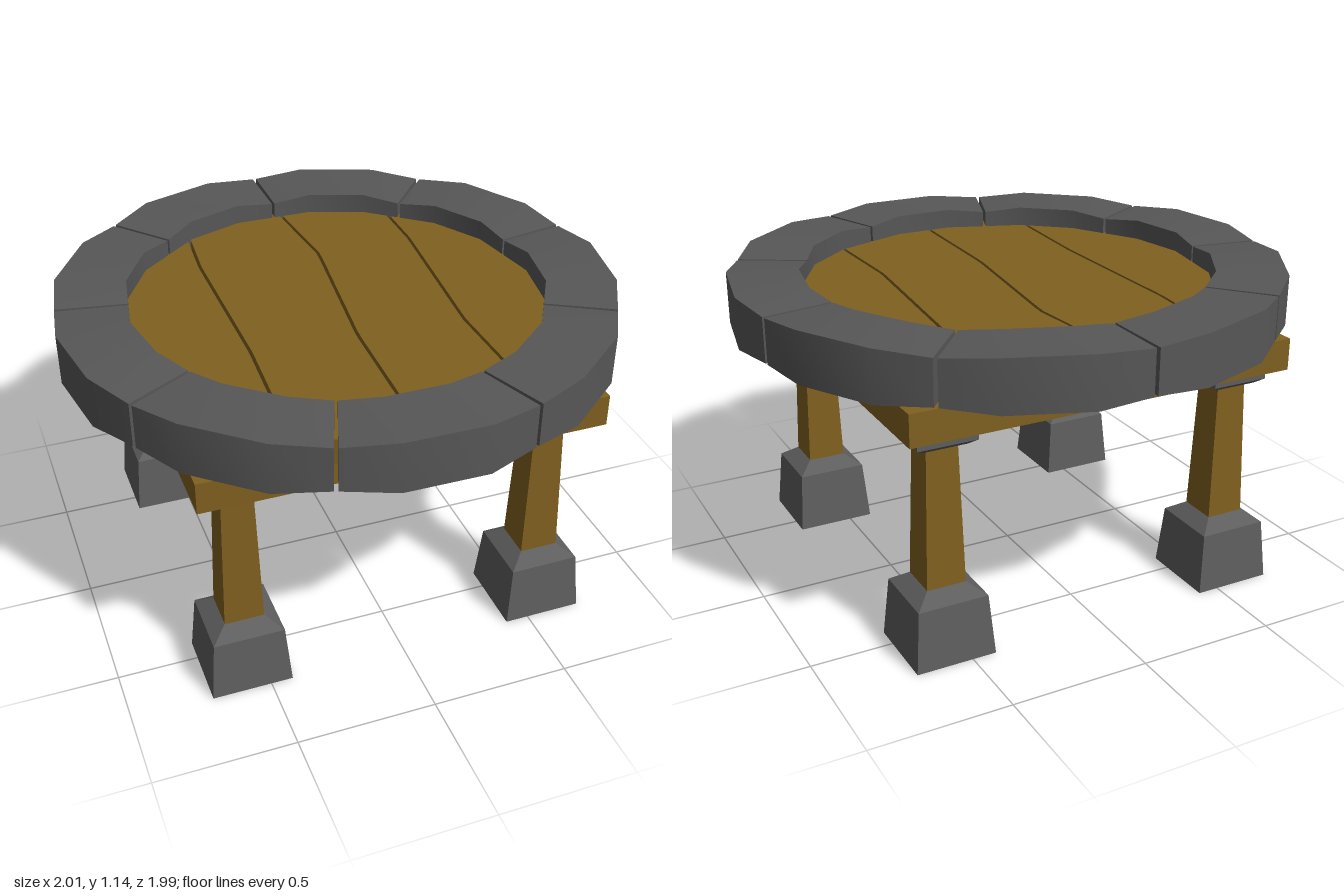
import * as THREE from 'three';
import { toCreasedNormals } from 'three/addons/utils/BufferGeometryUtils.js';

const wood = new THREE.MeshStandardMaterial({ name: 'wood', color: 0x80601f });
const stone = new THREE.MeshStandardMaterial({ name: 'stone', color: 0x5e5e5e });
const rimStone = new THREE.MeshStandardMaterial({ name: 'rimStone', color: 0x575757 });

function add(parent, name, geometry, material) {
  const mesh = new THREE.Mesh(geometry, material);
  mesh.name = name;
  parent.add(mesh);
  return mesh;
}

// Square tapered block from y0 (half width h0) to y1 (half width h1)
function taper(y0, h0, y1, h1) {
  const g = new THREE.CylinderGeometry(h1 * Math.SQRT2, h0 * Math.SQRT2, y1 - y0, 4);
  g.rotateY(Math.PI / 4).translate(0, (y0 + y1) / 2, 0);
  const flat = g.toNonIndexed();
  flat.computeVertexNormals();
  return flat;
}

function createLeg() {
  const leg = new THREE.Group();
  add(leg, 'footBlock', taper(0, 0.145, 0.22, 0.127), [stone, stone, wood]);
  add(leg, 'footBevel', taper(0.22, 0.127, 0.26, 0.072), stone);
  add(leg, 'post', taper(0.255, 0.071, 0.78, 0.056), wood);
  add(leg, 'capBevel', taper(0.766, 0.08, 0.786, 0.107), stone);
  add(leg, 'capBlock', taper(0.786, 0.107, 0.832, 0.107), stone);
  return leg;
}

// One curved rim stone: four-cornered sections swept around, slimmer at the ends
function rimGeometry() {
  const sections = [
    [0.4, 0.99, 0.735, 0.962, 1.122],
    [11.5, 1.008, 0.75, 0.951, 1.136],
    [28.5, 1.004, 0.75, 0.951, 1.136],
    [39.6, 0.99, 0.735, 0.962, 1.122],
  ].map(([deg, outer, inner, low, high]) => {
    const a = THREE.MathUtils.degToRad(deg);
    return [[outer, low], [outer, high], [inner, high], [inner, low]]
      .map(([r, y]) => [r * Math.sin(a), y, -r * Math.cos(a)]);
  });
  const pos = [];
  const quad = (a, b, c, d) => pos.push(...a, ...b, ...c, ...a, ...c, ...d);
  for (let i = 0; i < 3; i++) {
    const A = sections[i], B = sections[i + 1];
    for (let j = 0; j < 4; j++) {
      const k = (j + 1) % 4;
      quad(A[j], A[k], B[k], B[j]);
    }
  }
  const [s, e] = [sections[0], sections[3]];
  quad(s[0], s[3], s[2], s[1]);
  quad(e[0], e[1], e[2], e[3]);
  const g = new THREE.BufferGeometry();
  g.setAttribute('position', new THREE.Float32BufferAttribute(pos, 3));
  g.computeVertexNormals();
  return toCreasedNormals(g, 0.5);
}

// Bent seams between the planks, as [z, x] points from back to front
const seams = [
  [[-0.9, -0.35], [-0.42, -0.39], [0.23, -0.39], [0.9, -0.43]],
  [[-0.9, 0.02], [-0.37, 0.065], [0.24, -0.01], [0.9, -0.03]],
  [[-0.9, 0.44], [-0.38, 0.44], [0.27, 0.38], [0.9, 0.397]],
];

function seamX(seam, z) {
  let i = 0;
  while (i < 2 && z > seam[i + 1][0]) i++;
  const [z0, x0] = seam[i], [z1, x1] = seam[i + 1];
  return x0 + (x1 - x0) * (z - z0) / (z1 - z0);
}

// Plank between two seams, cut to the round table top
function plankGeometry(left, right) {
  const R = 0.86, gap = 0.006, lefts = [], rights = [];
  for (let i = 0; i <= 48; i++) {
    const z = -R * Math.cos(Math.PI * i / 48);
    const c = Math.sqrt(Math.max(0, R * R - z * z));
    const x0 = left ? Math.max(seamX(left, z) + gap, -c) : -c;
    const x1 = right ? Math.min(seamX(right, z) - gap, c) : c;
    if (x1 - x0 < 0.002) continue;
    lefts.push(new THREE.Vector2(x0, -z));
    rights.push(new THREE.Vector2(x1, -z));
  }
  const shape = new THREE.Shape([...lefts, ...rights.reverse()]);
  const g = new THREE.ExtrudeGeometry(shape, { depth: 0.095, bevelEnabled: false });
  return g.rotateX(-Math.PI / 2).translate(0, 0.967, 0);
}

export function createModel() {
  const table = new THREE.Group();
  table.name = 'roundTable';

  // Four legs
  for (const sx of [-1, 1]) {
    for (const sz of [-1, 1]) {
      const leg = createLeg();
      leg.name = (sz > 0 ? 'front' : 'back') + (sx > 0 ? 'Left' : 'Right') + 'Leg';
      leg.position.set(sx * 0.563 - 0.004, 0, sz * 0.567);
      table.add(leg);
    }
  }

  // Square slab carrying the top
  add(table, 'supportSlab', new THREE.BoxGeometry(1.44, 0.115, 1.46), wood)
    .position.set(-0.005, 0.8875, 0);

  // Planked round top
  for (let i = 0; i < 4; i++) {
    add(table, 'plank' + (i + 1), plankGeometry(seams[i - 1], seams[i]), wood);
  }

  // Ring of nine rim stones
  const rim = rimGeometry();
  for (let i = 0; i < 9; i++) {
    add(table, 'rimStone' + (i + 1), rim, rimStone).rotation.y = -i * Math.PI * 2 / 9;
  }
  return table;
}
